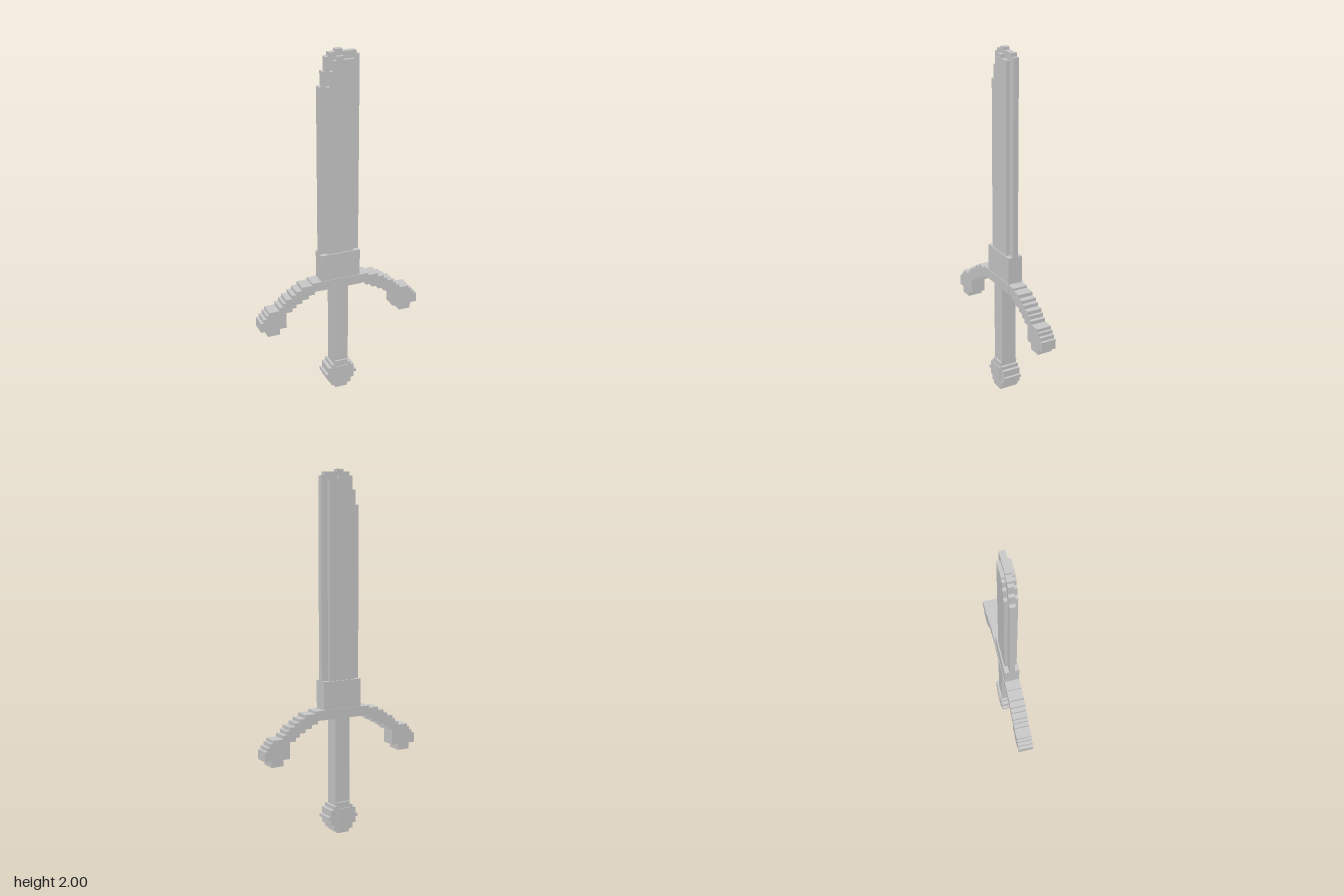
import * as THREE from 'three';

const steel = new THREE.MeshStandardMaterial({ color: 0xcacaca });
steel.name = 'light grey steel';

// Stepped outline from corner points, extruded evenly about z = 0
function slab(name, points, halfDepth) {
  const shape = new THREE.Shape(points.map(([x, y]) => new THREE.Vector2(x, y)));
  const geometry = new THREE.ExtrudeGeometry(shape, { depth: 2 * halfDepth, bevelEnabled: false });
  geometry.translate(0, 0, -halfDepth);
  const mesh = new THREE.Mesh(geometry, steel);
  mesh.name = name;
  return mesh;
}

function block(name, x0, x1, y0, y1, halfDepth) {
  const mesh = new THREE.Mesh(new THREE.BoxGeometry(x1 - x0, y1 - y0, 2 * halfDepth), steel);
  mesh.position.set((x0 + x1) / 2, (y0 + y1) / 2, 0);
  mesh.name = name;
  return mesh;
}

// Turns [x, y] steps into a staircase: move along x first, then along y
function stairs(start, steps) {
  const out = [start];
  let y = start[1];
  for (const [x, nextY] of steps) {
    out.push([x, y], [x, nextY]);
    y = nextY;
  }
  return out;
}

export function createModel() {
  const sword = new THREE.Group();
  sword.name = 'sword';

  // Blade: thin cutting edge with a thicker core, chipped on one side of the tip
  sword.add(slab('bladeEdge', [
    [-0.115, 0.84], [0.115, 0.84],
    [0.115, 1.965], [0.096, 1.965], [0.096, 1.985], [0.019, 1.985], [0.019, 2],
    [-0.02, 2], [-0.02, 1.985], [-0.057, 1.985], [-0.057, 1.965], [-0.077, 1.965],
    [-0.077, 1.89], [-0.096, 1.89], [-0.096, 1.81], [-0.115, 1.81],
  ], 0.016));
  sword.add(slab('bladeCore', [
    [-0.077, 0.84], [0.077, 0.84],
    [0.077, 1.945], [0.019, 1.945], [0.019, 1.965], [-0.02, 1.965], [-0.02, 1.945],
    [-0.038, 1.945], [-0.038, 1.89], [-0.057, 1.89], [-0.057, 1.81], [-0.077, 1.81],
  ], 0.035));
  sword.add(block('bladeCollar', -0.115, 0.115, 0.65, 0.86, 0.042));

  // Curved crossguard: one stepped arm, mirrored
  const upper = stairs([0.1, 0.705], [
    [0.12, 0.703], [0.17, 0.69], [0.23, 0.67], [0.265, 0.652], [0.29, 0.632], [0.325, 0.612],
    [0.342, 0.592], [0.365, 0.572], [0.425, 0.555], [0.44, 0.535], [0.458, 0.515], [0.475, 0.46],
    [0.436, 0.425],
  ]);
  const lower = stairs([0.1, 0.65], [
    [0.155, 0.632], [0.19, 0.612], [0.23, 0.592], [0.265, 0.572], [0.29, 0.552],
    [0.325, 0.46], [0.365, 0.425],
  ]);
  const arm = [...upper, ...lower.reverse()];
  for (const side of [1, -1]) {
    sword.add(slab(side > 0 ? 'leftGuardArm' : 'rightGuardArm',
      arm.map(([x, y]) => [side * x, y]), 0.043));
  }
  sword.add(block('guardCentre', -0.115, 0.115, 0.65, 0.705, 0.045));

  // Grip
  sword.add(block('grip', -0.044, 0.044, 0.14, 0.66, 0.043));

  // Round stepped pommel with raised faces
  const half = [
    [0.038, 0], [0.038, 0.018], [0.058, 0.018], [0.058, 0.048], [0.078, 0.048], [0.078, 0.08],
    [0.093, 0.08], [0.093, 0.097], [0.078, 0.097], [0.078, 0.135], [0.058, 0.135], [0.058, 0.155],
  ];
  sword.add(slab('pommel', [...half, ...half.map(([x, y]) => [-x, y]).reverse()], 0.052));
  sword.add(block('pommelCollar', -0.04, 0.04, 0.15, 0.175, 0.052));
  sword.add(block('pommelBoss', -0.037, 0.037, 0.06, 0.14, 0.057));

  return sword;
}
